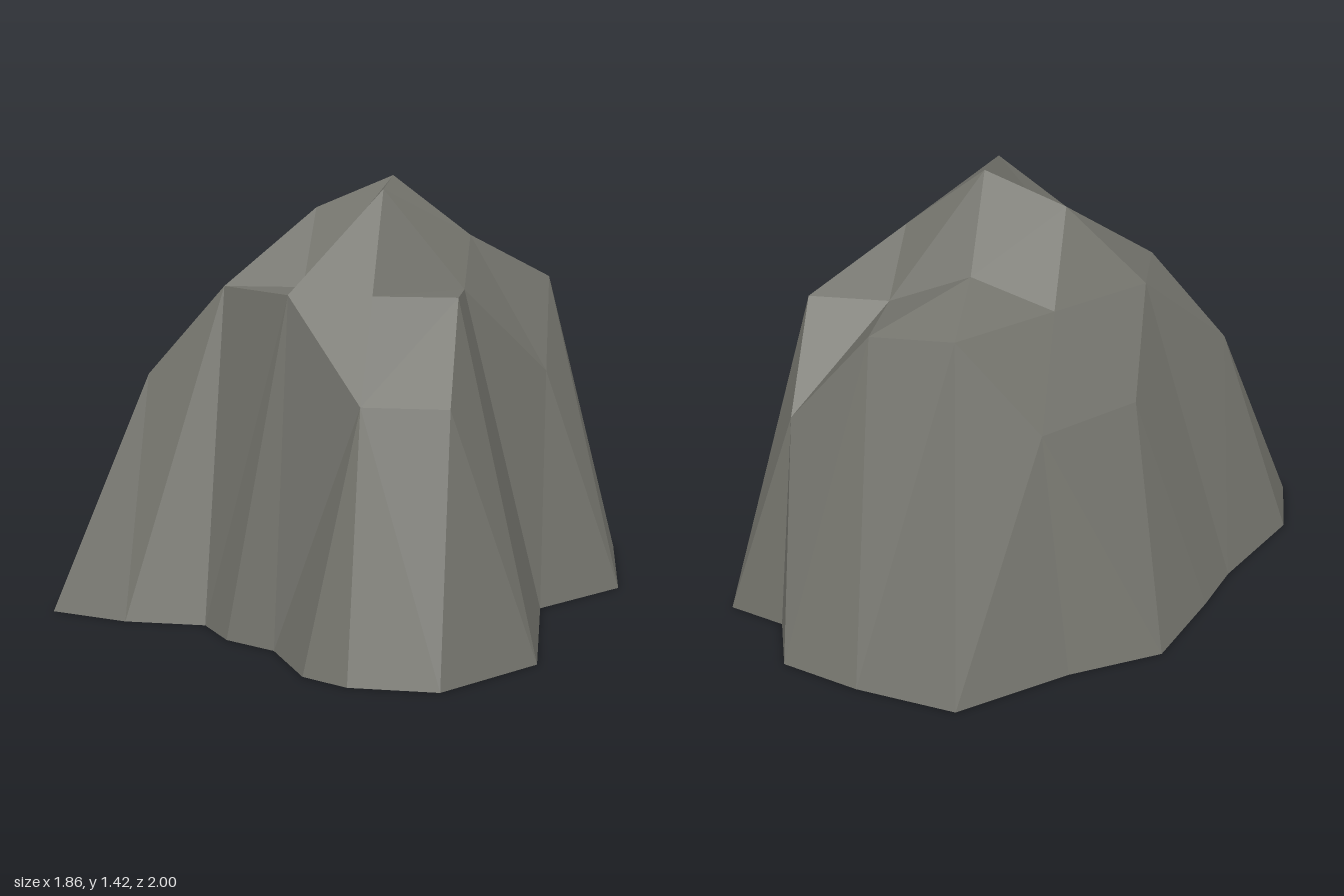
import * as THREE from 'three';

const STEP = 0.265;
const X0 = -0.665, Z0 = -0.59;

// Heights on a regular grid, rows running from back to front (0 = no point)
const HEIGHTS = [
  [0, 0, 0.76, 1.06, 1.06, 0.76],
  [0, 0.76, 1.06, 1.16, 1.06, 1.06],
  [0, 1.06, 1.31, 1.42, 1.22, 0.76],
  [0.76, 1.06, 1.06, 1.38, 1.06, 0],
  [0, 0, 1.06, 1.06, 1.06, 0],
  [0, 0, 0, 0.76, 0.76, 0],
];

// Grid points [column, row] round the edge of the crown
const RIM = [
  [0, 3], [1, 2], [1, 1], [2, 0], [3, 0], [4, 0], [5, 0], [5, 1],
  [5, 2], [4, 3], [4, 4], [4, 5], [3, 5], [2, 4], [1, 3],
];

// Ground outline [x, z, index of the rim point where it joins]
const GROUND = [
  [-0.93, 0.205, 0], [-0.735, -0.14, 0], [-0.665, -0.325, 2], [-0.535, -0.62, 2],
  [-0.25, -0.77, 3], [0.07, -1, 3], [0.4, -0.94, 4], [0.66, -0.855, 5],
  [0.73, -0.655, 6], [0.925, -0.59, 6], [0.925, -0.06, 7], [0.66, 0.205, 8],
  [0.66, 0.735, 10], [0.395, 1, 11], [0.13, 1, 12], [-0.01, 0.935, 12],
  [-0.135, 0.735, 12], [-0.3, 0.66, 13], [-0.4, 0.535, 13], [-0.665, 0.535, 14],
  [-0.93, 0.47, 15],
];

function gridPoint(col, row) {
  return [X0 + col * STEP, HEIGHTS[row][col], Z0 + row * STEP];
}

function meshFrom(name, triangles, material) {
  const geometry = new THREE.BufferGeometry();
  geometry.setAttribute('position', new THREE.Float32BufferAttribute(triangles.flat(2), 3));
  geometry.computeVertexNormals();
  const mesh = new THREE.Mesh(geometry, material);
  mesh.name = name;
  return mesh;
}

export function createModel() {
  const group = new THREE.Group();
  group.name = 'rock';
  const stone = new THREE.MeshStandardMaterial({ color: 0x73736c });
  stone.name = 'grey stone';
  stone.flatShading = true;

  // Crown: two triangles per grid cell, keeping those with all corners present
  const crown = [];
  for (let r = 0; r < 5; r++) {
    for (let c = 0; c < 5; c++) {
      const a = gridPoint(c, r), b = gridPoint(c + 1, r);
      const d = gridPoint(c, r + 1), e = gridPoint(c + 1, r + 1);
      for (const tri of [[a, d, b], [b, d, e]]) {
        if (tri.every((p) => p[1] > 0)) crown.push(tri);
      }
      // Corner cells that lack one point of the shared diagonal
      if (!b[1] && a[1] && d[1] && e[1]) crown.push([a, d, e]);
      if (!d[1] && a[1] && b[1] && e[1]) crown.push([a, e, b]);
    }
  }
  group.add(meshFrom('crown', crown, stone));

  // Flanks: steep facets joining the rim to the ground outline
  const flanks = [];
  const n = GROUND.length;
  const rim = (i) => gridPoint(...RIM[i % RIM.length]);
  const foot = (i) => [GROUND[i % n][0], 0, GROUND[i % n][1]];
  const join = (i) => (i === n ? RIM.length : GROUND[i][2]);
  for (let i = 0; i < n; i++) {
    for (let r = join(i); r < join(i + 1); r++) flanks.push([rim(r), rim(r + 1), foot(i)]);
    flanks.push([rim(join(i + 1)), foot(i + 1), foot(i)]);
  }
  group.add(meshFrom('flanks', flanks, stone));

  // Flat underside
  const contour = GROUND.map(([x, z]) => new THREE.Vector2(x, z));
  const under = THREE.ShapeUtils.triangulateShape(contour, []).map((f) => f.map(foot));
  group.add(meshFrom('underside', under, stone));

  return group;
}
